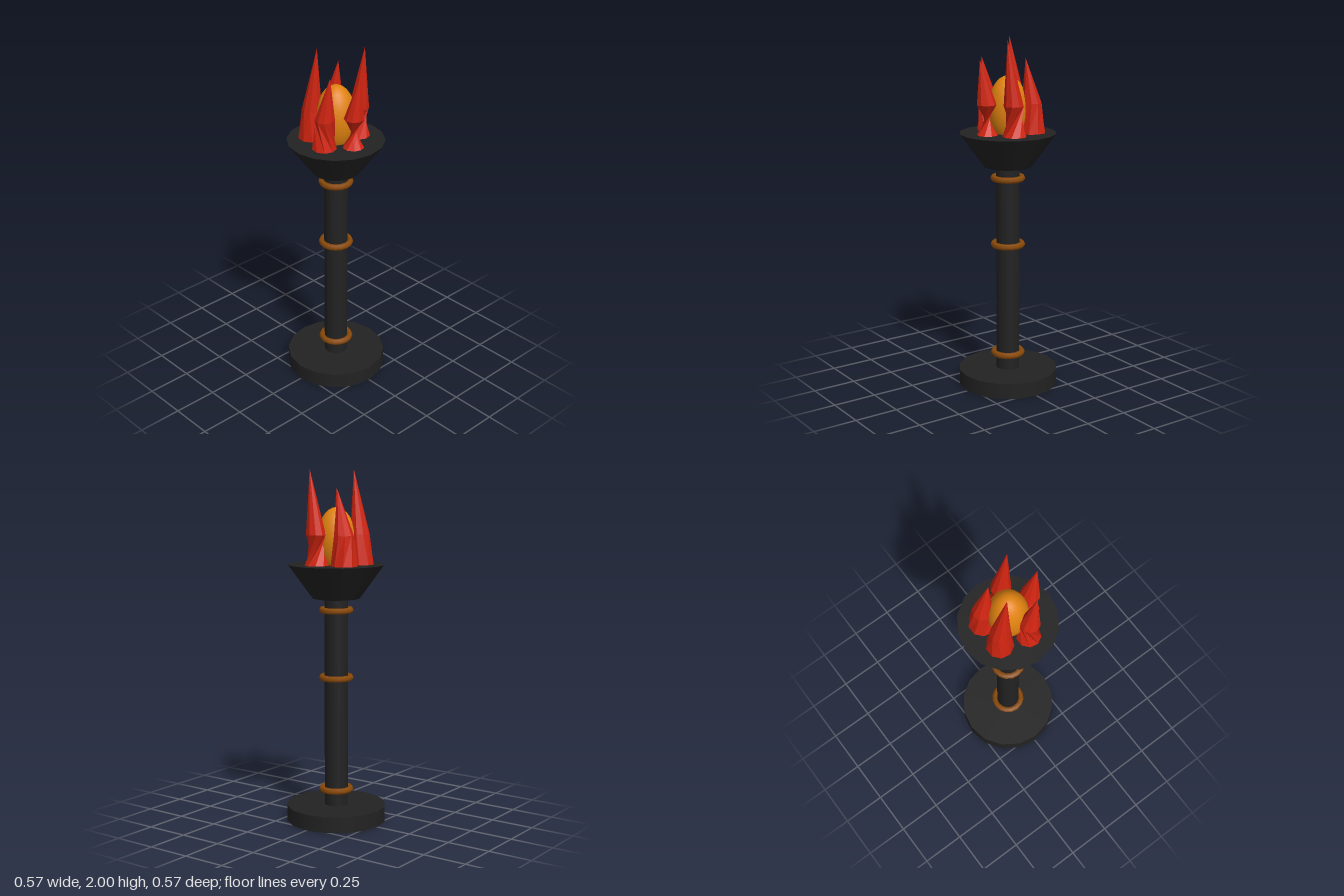
import * as THREE from 'three';

const iron = new THREE.MeshStandardMaterial({ color: 0x222222 });
iron.name = 'blackIron';
const bronze = new THREE.MeshStandardMaterial({ color: 0x8a4a0a });
bronze.name = 'bronze';
const ember = new THREE.MeshStandardMaterial({ color: 0xe08210 });
ember.name = 'emberOrange';
const fire = new THREE.MeshStandardMaterial({ color: 0xd02410, flatShading: true, side: THREE.DoubleSide });
fire.name = 'flameRed';

function add(group, name, geometry, material, y) {
  const mesh = new THREE.Mesh(geometry, material);
  mesh.name = name;
  mesh.position.y = y;
  group.add(mesh);
  return mesh;
}

// Faceted flame tongue: a base ring, a ring turned by "twist", and a leaning tip
function flameGeometry(height, baseRadius, midRadius, twist, tipX, sides = 9) {
  const pos = [];
  const ring = (r, y, turn, shift) => Array.from({ length: sides }, (_, j) => {
    const a = (j / sides) * Math.PI * 2 + turn;
    return [shift + Math.cos(a) * r, y, -Math.sin(a) * r];
  });
  const base = ring(baseRadius, 0, 0, 0);
  const mid = ring(midRadius, 0.17, twist, 0.005);
  const tip = [tipX, height, 0];
  for (let j = 0; j < sides; j++) {
    const k = (j + 1) % sides;
    pos.push(...base[j], ...base[k], ...mid[k]);
    pos.push(...base[j], ...mid[k], ...mid[j]);
    pos.push(...mid[j], ...mid[k], ...tip);
  }
  const g = new THREE.BufferGeometry();
  g.setAttribute('position', new THREE.Float32BufferAttribute(pos, 3));
  g.computeVertexNormals();
  return g;
}

export function createModel() {
  const model = new THREE.Group();
  model.name = 'standingTorch';

  // Stand
  add(model, 'base', new THREE.CylinderGeometry(0.285, 0.285, 0.09, 16), iron, 0.045);
  add(model, 'shaft', new THREE.CylinderGeometry(0.067, 0.067, 1.2, 16), iron, 0.685);
  add(model, 'bowl', new THREE.CylinderGeometry(0.272, 0.134, 0.19, 16), iron, 1.377);

  // Collars around the shaft
  for (const y of [0.18, 0.83, 1.215]) {
    add(model, 'collar', new THREE.TorusGeometry(0.081, 0.018, 6, 16).rotateX(Math.PI / 2), bronze, y);
  }

  // Glowing core
  add(model, 'emberCore', new THREE.SphereGeometry(0.11, 24, 16), ember, 1.6).scale.y = 1.73;

  // Five flames in a circle, alternating low and high, more twisted towards +x
  const twists = [2.55, 1.5, 0.25, -0.25, -1.5];
  const radii = [0.06, 0.068, 0.076, 0.076, 0.068];
  twists.forEach((twist, i) => {
    const a = (i / 5) * Math.PI * 2;
    const height = i % 2 ? 0.53 : 0.42;
    const flame = add(model, 'flame', flameGeometry(height, radii[i], 0.056, twist, 0.047), fire, 1.47);
    flame.position.x = Math.cos(a) * 0.137;
    flame.position.z = -Math.sin(a) * 0.132;
  });
  return model;
}
